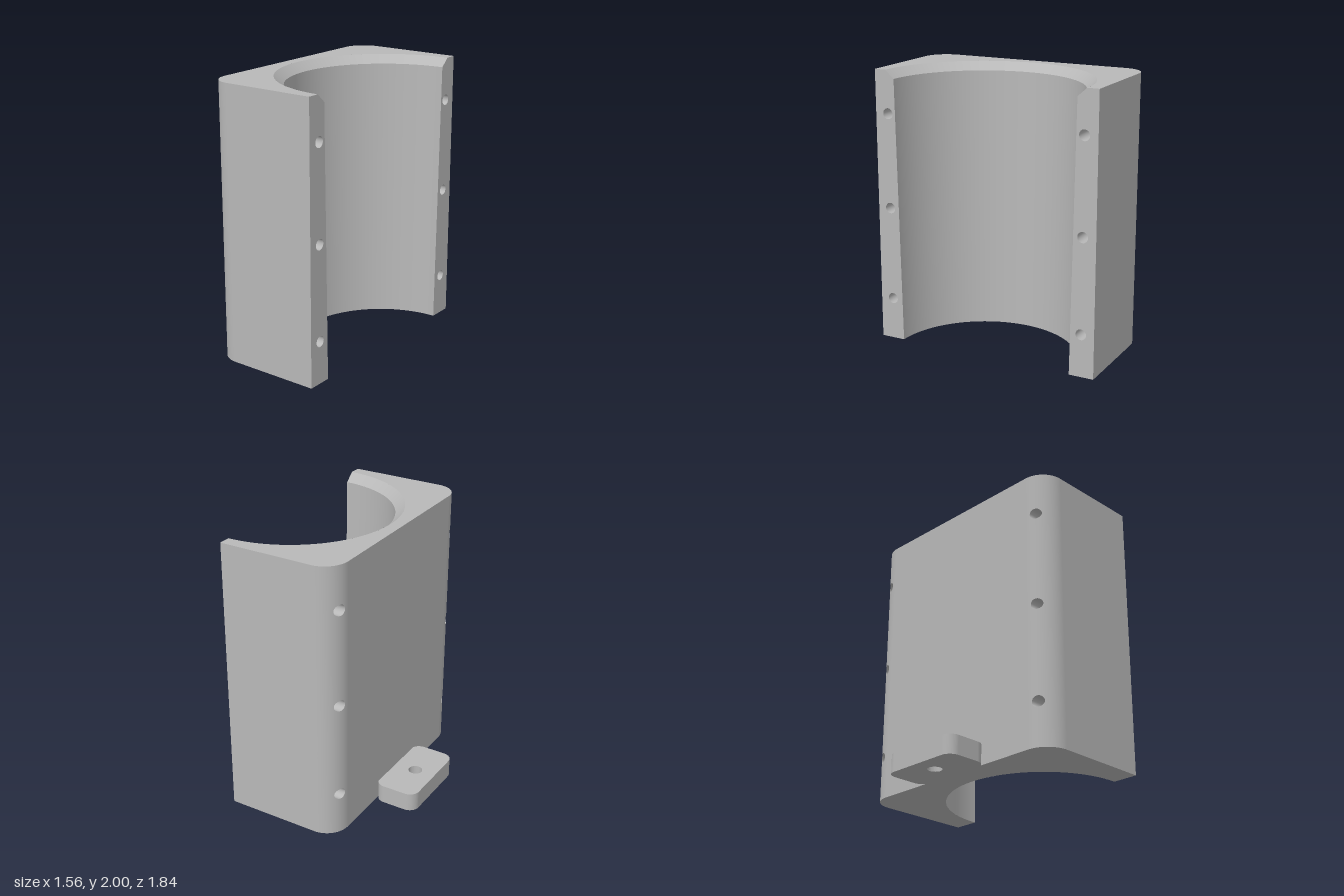
import * as THREE from 'three';
import { ParametricGeometry } from 'three/addons/geometries/ParametricGeometry.js';

// Half-shell dimensions: local x runs along the mating face, local z points out of it
const W = 0.853, H = 2, FILLET = 0.17, C = W - FILLET;
const R_BOTTOM = 0.67, R_TOP = 0.7, R_RIM = 0.767, RIM_Y = 1.94;
const HOLE_X = 0.755, HOLE_R = 0.039;
const HOLE_Y = [0.31, 1, 1.69], BANDS = [0, 0.655, 1.345, H];

export function createModel() {
  const gray = new THREE.MeshStandardMaterial({ color: 0xb8b8b8, side: THREE.DoubleSide });
  gray.name = 'plain gray';
  const model = new THREE.Group();
  model.name = 'splitClampHalf';
  const body = new THREE.Group();
  body.name = 'body';
  body.rotation.y = Math.PI / 3;
  body.position.set(0.355, 0, 0.18);
  model.add(body);

  const add = (name, geometry, x = 0, y = 0, z = 0) => {
    const mesh = new THREE.Mesh(geometry, gray);
    mesh.name = name;
    mesh.position.set(x, y, z);
    body.add(mesh);
  };

  // End faces: rounded block outline with the bore cut from one side
  const endShape = (r) => {
    const s = new THREE.Shape();
    s.moveTo(r, 0);
    s.lineTo(W, 0);
    s.lineTo(W, C);
    s.absarc(C, C, FILLET, 0, Math.PI / 2, false);
    s.lineTo(-C, W);
    s.absarc(-C, C, FILLET, Math.PI / 2, Math.PI, false);
    s.lineTo(-W, 0);
    s.lineTo(-r, 0);
    s.absarc(0, 0, r, Math.PI, 0, true);
    return s;
  };
  add('topFace', new THREE.ShapeGeometry(endShape(R_RIM), 64).rotateX(-Math.PI / 2), 0, H);
  add('bottomFace', new THREE.ShapeGeometry(endShape(R_BOTTOM), 64).rotateX(Math.PI / 2).rotateY(Math.PI));

  // Slightly tapered bore and its chamfered rim
  const halfLathe = (...pts) => new THREE.LatheGeometry(
    pts.map(([r, y]) => new THREE.Vector2(r, y)), 64, Math.PI / 2, Math.PI);
  add('bore', halfLathe([R_TOP, RIM_Y], [R_BOTTOM, 0]));
  add('boreChamfer', halfLathe([R_RIM, H], [R_TOP, RIM_Y]));

  // Flat back
  add('backWall', new THREE.PlaneGeometry(2 * C, H).rotateY(Math.PI), 0, H / 2, -W);

  for (const side of [1, -1]) {
    add('sideWall', new THREE.PlaneGeometry(C, H).rotateY(side * Math.PI / 2), side * W, H / 2, -C / 2);

    // Mating face with bolt holes
    const face = new THREE.Shape([[R_BOTTOM, 0], [W, 0], [W, H], [R_RIM, H], [R_TOP, RIM_Y]]
      .map(([x, y]) => new THREE.Vector2(side * x, y)));
    for (const y of HOLE_Y) {
      face.holes.push(new THREE.Path().absarc(side * HOLE_X, y, HOLE_R, 0, Math.PI * 2, false));
    }
    add('matingFace', new THREE.ShapeGeometry(face, 20));

    HOLE_Y.forEach((hy, i) => {
      const y0 = BANDS[i], y1 = BANDS[i + 1];

      // Rounded back corner: a band that blends from the hole edge to its own border
      add('roundedCorner', new ParametricGeometry((a, b, p) => {
        const phi = side * a * Math.PI * 2, c = Math.cos(phi), s = Math.sin(phi);
        const m = Math.max(Math.abs(c), Math.abs(s));
        const ring = Math.asin((HOLE_X - C + HOLE_R * c) / FILLET);
        const t = THREE.MathUtils.lerp(ring, Math.PI / 4 * (1 + c / m), b);
        const y = THREE.MathUtils.lerp(hy + HOLE_R * s, y0 + (y1 - y0) / 2 * (1 + s / m), b);
        p.set(side * (C + FILLET * Math.sin(t)), y, -C - FILLET * Math.cos(t));
      }, 64, 10));

      // Bolt hole running from the mating face to the rounded corner
      add('boltHole', new ParametricGeometry((a, b, p) => {
        const phi = side * a * Math.PI * 2, dx = HOLE_X - C + HOLE_R * Math.cos(phi);
        const depth = C + Math.sqrt(FILLET * FILLET - dx * dx);
        p.set(side * (C + dx), hy + HOLE_R * Math.sin(phi), -b * depth);
      }, 40, 1));
    });
  }

  // Mounting tab at the foot of the back wall
  const tw = 0.305, r = 0.075, near = 0.847, far = 1.165;
  const tab = new THREE.Shape();
  tab.absarc(tw - r, near + r, r, -Math.PI / 2, 0, false);
  tab.absarc(tw - r, far - r, r, 0, Math.PI / 2, false);
  tab.absarc(r - tw, far - r, r, Math.PI / 2, Math.PI, false);
  tab.absarc(r - tw, near + r, r, Math.PI, Math.PI * 1.5, false);
  tab.closePath();
  tab.holes.push(new THREE.Path().absarc(0, 1.012, 0.05, 0, Math.PI * 2, true));
  add('mountingTab', new THREE.ExtrudeGeometry(tab, { depth: 0.135, bevelEnabled: false, curveSegments: 16 })
    .rotateX(-Math.PI / 2));

  return model;
}
